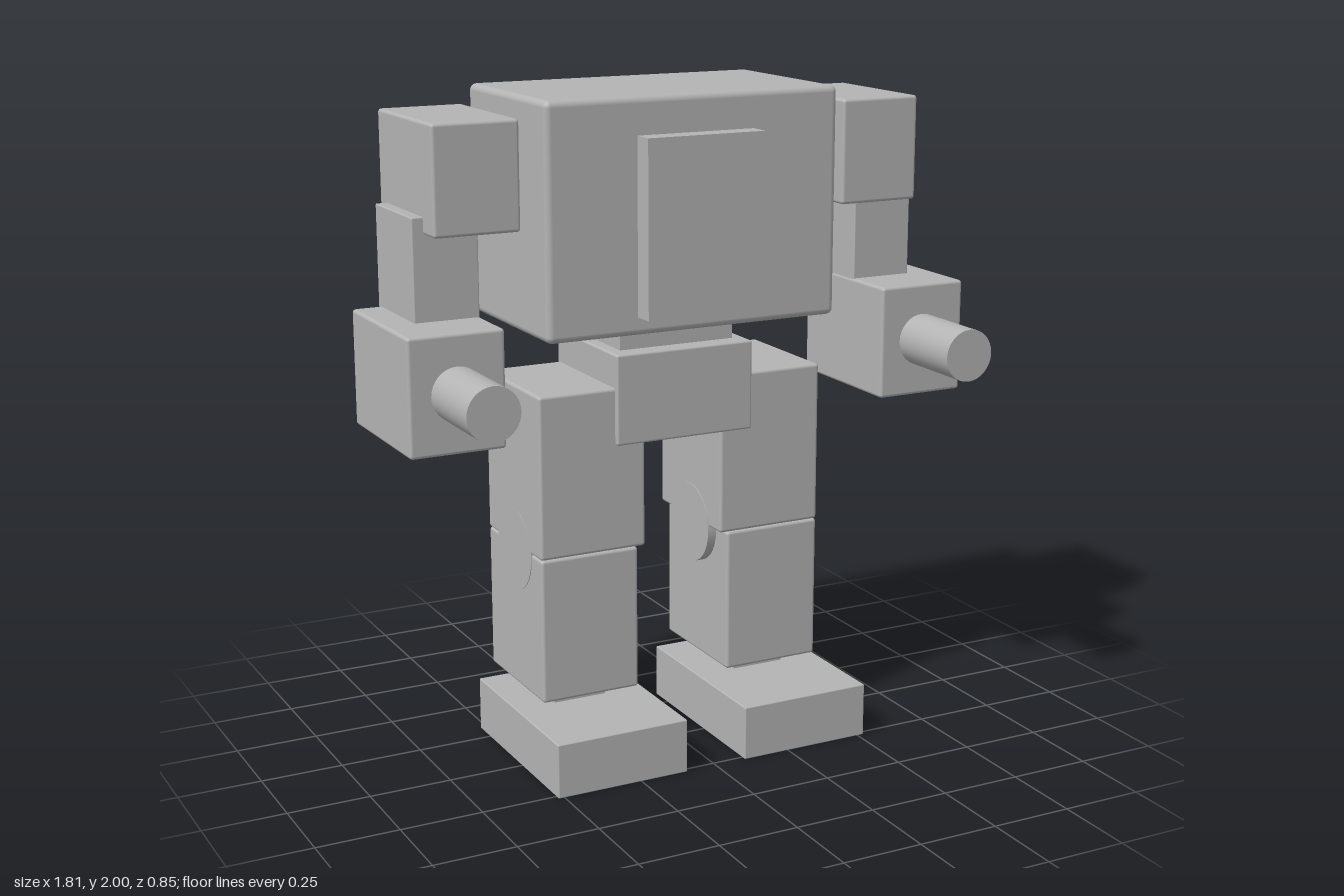
import * as THREE from 'three';
import { RoundedBoxGeometry } from 'three/addons/geometries/RoundedBoxGeometry.js';

export function createModel() {
  const model = new THREE.Group();
  model.name = 'robot';
  const grey = new THREE.MeshStandardMaterial({ color: 0xb4b4b4 });
  grey.name = 'grey';

  // Box from its min/max extents on each axis; bevel 0 gives sharp edges
  function box(parent, name, [x0, x1], [y0, y1], [z0, z1], bevel = 0) {
    const w = x1 - x0, h = y1 - y0, d = z1 - z0;
    const geo = bevel ? new RoundedBoxGeometry(w, h, d, 3, bevel) : new THREE.BoxGeometry(w, h, d);
    const mesh = new THREE.Mesh(geo, grey);
    mesh.name = name;
    mesh.position.set((x0 + x1) / 2, (y0 + y1) / 2, (z0 + z1) / 2);
    parent.add(mesh);
  }

  // Cylinder lying along x or z
  function rod(parent, name, radius, length, axis, position) {
    const geo = new THREE.CylinderGeometry(radius, radius, length, 32);
    if (axis === 'x') geo.rotateZ(Math.PI / 2);
    else geo.rotateX(Math.PI / 2);
    const mesh = new THREE.Mesh(geo, grey);
    mesh.name = name;
    mesh.position.set(...position);
    parent.add(mesh);
  }

  // Body
  box(model, 'torso', [-0.47, 0.47], [1.315, 2], [-0.425, 0.13], 0.02);
  box(model, 'chestPlate', [-0.187, 0.187], [1.37, 1.89], [0.05, 0.198]);
  box(model, 'waist', [-0.187, 0.187], [1.2, 1.36], [-0.3, 0.01]);
  box(model, 'hips', [-0.225, 0.225], [0.975, 1.248], [-0.352, 0.067], 0.007);

  // Arms and legs, mirrored by side
  for (const [side, s] of [['left', 1], ['right', -1]]) {
    const span = (a, b) => (s > 0 ? [a, b] : [-b, -a]);

    const arm = new THREE.Group();
    arm.name = side + 'Arm';
    box(arm, 'shoulder', span(0.523, 0.783), [1.635, 1.95], [-0.345, 0.078], 0.01);
    box(arm, 'upperArm', span(0.62, 0.817), [1.34, 1.685], [-0.293, -0.003], 0.004);
    box(arm, 'forearm', span(0.617, 0.905), [1.045, 1.388], [-0.277, 0.17], 0.01);
    rod(arm, 'barrel', 0.079, 0.325, 'z', [s * 0.76, 1.217, 0.2625]);

    const leg = new THREE.Group();
    leg.name = side + 'Leg';
    box(leg, 'thigh', span(0.127, 0.468), [0.652, 1.147], [-0.343, 0.052], 0.01);
    rod(leg, 'knee', 0.125, 0.345, 'x', [s * 0.2965, 0.638, -0.145]);
    box(leg, 'shin', span(0.152, 0.467), [0.207, 0.652], [-0.343, 0.052], 0.01);
    box(leg, 'ankle', span(0.225, 0.395), [0.14, 0.24], [-0.257, -0.033]);
    box(leg, 'foot', span(0.098, 0.52), [0, 0.167], [-0.325, 0.27], 0.004);

    model.add(arm, leg);
  }
  return model;
}
